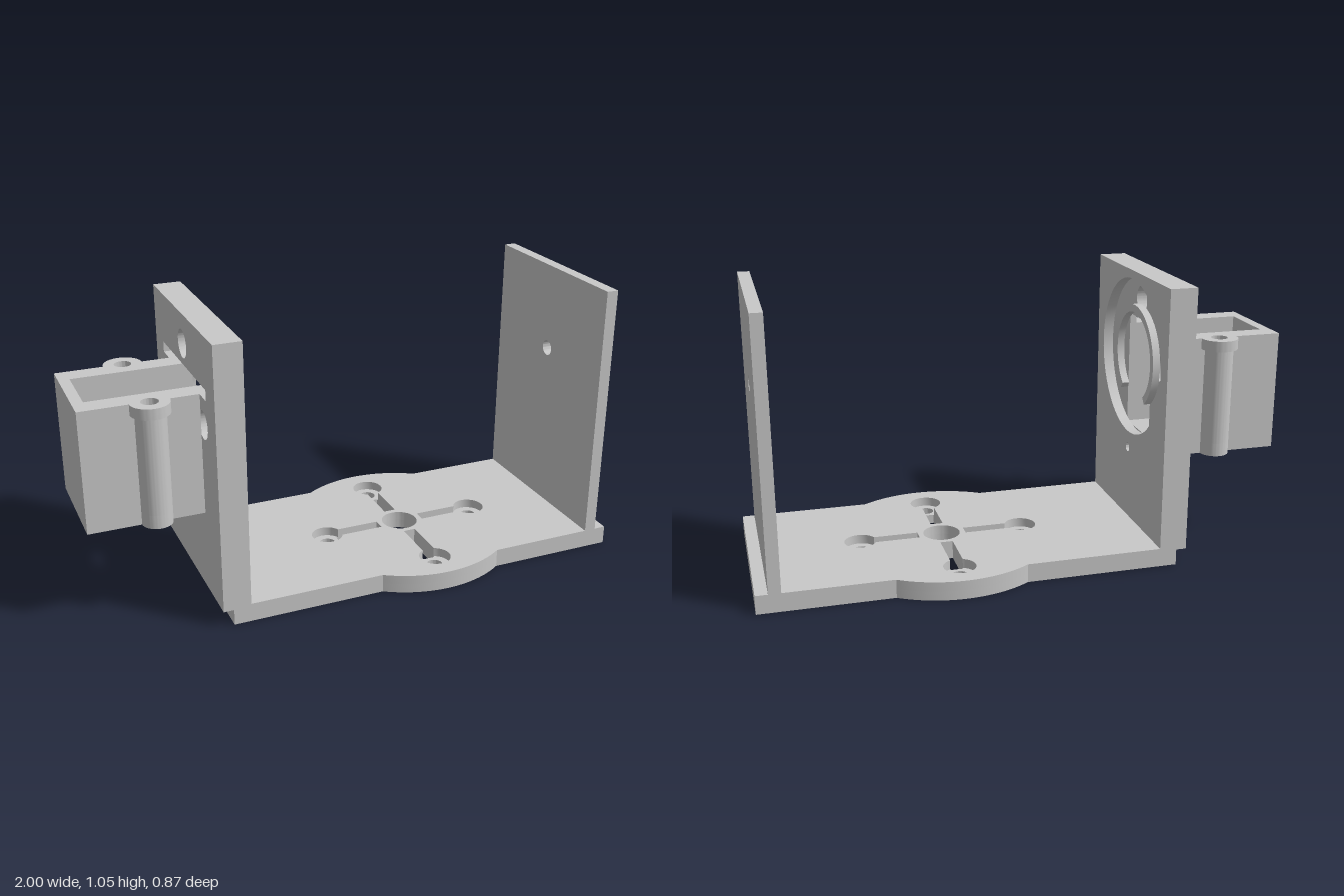
import * as THREE from 'three';
import { toCreasedNormals } from 'three/addons/utils/BufferGeometryUtils.js';

const grey = new THREE.MeshStandardMaterial({ color: 0xc8c8c8 });
grey.name = 'grey plastic';

const poly = (pts, Type = THREE.Shape) => new Type(pts.map(([a, b]) => new THREE.Vector2(a, b)));
const rect = (a0, a1, b0, b1, Type) => poly([[a0, b0], [a1, b0], [a1, b1], [a0, b1]], Type);
const circle = (a, b, r) => new THREE.Path().absarc(a, b, r, 0, Math.PI * 2);

// Points along an arc, both ends included
function arc(cx, cy, r, from, to, steps = 32) {
  return Array.from({ length: steps + 1 }, (_, k) => {
    const t = from + (to - from) * k / steps;
    return [cx + r * Math.cos(t), cy + r * Math.sin(t)];
  });
}

// Extrude a shape between two positions along the y or x axis.
function slab(name, shape, from, to, axis) {
  let geo = new THREE.ExtrudeGeometry(shape, { depth: to - from, bevelEnabled: false, curveSegments: 32 });
  geo.translate(0, 0, from);
  if (axis === 'y') geo.rotateX(-Math.PI / 2);
  else geo.rotateY(Math.PI / 2);
  geo = toCreasedNormals(geo, 0.5);
  const mesh = new THREE.Mesh(geo, grey);
  mesh.name = name;
  return mesh;
}

const CX = 0.272; // centre of the cross-shaped mounting pattern

// Base outline with a rounded bulge on both long sides
function baseOutline() {
  const h = 0.365, R = 0.437, a = Math.asin(h / R);
  const s = poly([
    [-0.545, -h], ...arc(CX, 0, R, -Math.PI + a, -a), [1, -h],
    [1, h], ...arc(CX, 0, R, a, Math.PI - a), [-0.545, h]]);
  s.holes.push(circle(CX, 0, 0.07));
  return s;
}

function base() {
  const group = new THREE.Group();
  group.name = 'base';
  const lower = baseOutline(), upper = baseOutline();
  const d = 0.313, w = 0.0235, r = 0.06, a0 = Math.asin(w / r);
  for (let i = 0; i < 4; i++) {
    const c = Math.round(Math.cos(i * Math.PI / 2)), s = Math.round(Math.sin(i * Math.PI / 2));
    const turn = ([p, q]) => [CX + p * c - q * s, p * s + q * c];
    // Through slot and screw hole below, keyhole with counterbore above
    lower.holes.push(poly([[0.09, -w], [0.265, -w], [0.265, w], [0.09, w]].map(turn), THREE.Path));
    lower.holes.push(circle(...turn([d, 0]), 0.031));
    const key = [[0.09, w], [0.09, -w], ...arc(d, 0, r, -Math.PI + a0, Math.PI - a0)];
    upper.holes.push(poly(key.map(turn), THREE.Path));
  }
  group.add(slab('basePlateLower', lower, 0, 0.035, 'y'), slab('basePlateUpper', upper, 0.035, 0.07, 'y'));
  return group;
}

// Thick wall with the round recess, built from layers outside to inside
function motorWall() {
  const group = new THREE.Group();
  group.name = 'motorWall';
  const cy = 0.717;
  const wall = (screws) => {
    const s = rect(-0.365, 0.365, 0.06, 1.05);
    s.holes.push(circle(0, 0.35, 0.018));
    if (screws) for (const [u, v] of [[0, 0.22], [0.22, 0], [-0.22, 0]]) s.holes.push(circle(u, cy + v, 0.052));
    return s;
  };
  const outer = wall(true), middle = wall(true), inner = wall(false);
  outer.holes.push(poly([[-0.115, 0.42], [0.115, 0.42], [0.115, 0.82], [0.265, 0.82],
    [0.265, 0.86], [-0.265, 0.86], [-0.265, 0.82], [-0.115, 0.82]], THREE.Path));
  middle.holes.push(rect(-0.115, 0.115, 0.42, 0.86, THREE.Path));
  inner.holes.push(circle(0, cy, 0.302));
  group.add(
    slab('wallOuterLayer', outer, -0.583, -0.545, 'x'),
    slab('wallMiddleLayer', middle, -0.545, -0.52, 'x'),
    slab('wallRecessLayer', inner, -0.52, -0.48, 'x'));
  // Raised ring, open at the bottom
  const gap = 0.66, a = -Math.PI / 2 + gap, b = Math.PI * 1.5 - gap;
  const ring = poly([...arc(0, cy, 0.2, a, b, 48), ...arc(0, cy, 0.172, b, a, 48)]);
  group.add(slab('recessRing', ring, -0.52, -0.492, 'x'));
  return group;
}

// Motor box outline with a screw ear on each side
function boxOutline(earRadius, open) {
  const x0 = -1, x1 = -0.583, h = 0.193, ex = -0.755, p = 0.115;
  const pocket = open ? [[x1, -p], [-0.96, -p], [-0.96, p], [x1, p]] : [];
  const s = poly([
    [x0, -h], ...arc(ex, -h, earRadius, Math.PI, Math.PI * 2), [x1, -h], ...pocket,
    [x1, h], ...arc(ex, h, earRadius, 0, Math.PI), [x0, h]]);
  for (const z of [-h, h]) s.holes.push(circle(ex, z, 0.031));
  return s;
}

function motorBox() {
  const group = new THREE.Group();
  group.name = 'motorBox';
  const floor = boxOutline(0.055, false);
  floor.holes.push(rect(-0.68, -0.62, -0.115, 0.115, THREE.Path));
  group.add(
    slab('boxFloor', floor, 0.37, 0.42, 'y'),
    slab('boxWalls', boxOutline(0.055, true), 0.42, 0.78, 'y'),
    slab('boxRim', boxOutline(0.07, true), 0.78, 0.82, 'y'));
  return group;
}

// Thin wall with the pivot hole
function pivotWall() {
  const s = rect(-0.365, 0.365, 0.07, 1.05);
  s.holes.push(circle(0, 0.717, 0.03));
  return slab('pivotWall', s, 0.91, 0.955, 'x');
}

export function createModel() {
  const model = new THREE.Group();
  model.name = 'motorBracket';
  model.add(base(), motorWall(), motorBox(), pivotWall());
  return model;
}
